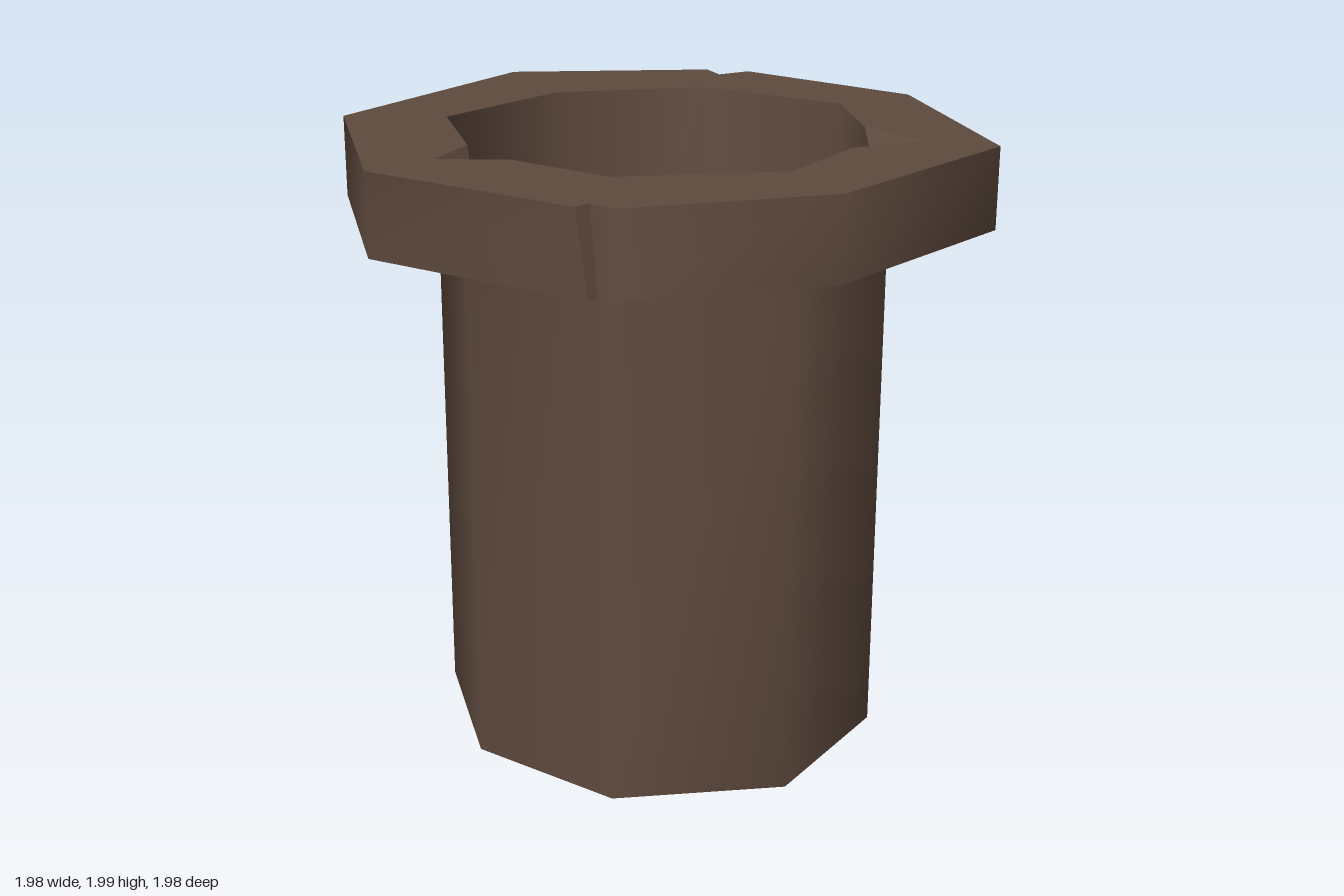
import * as THREE from 'three';
import { toCreasedNormals } from 'three/addons/utils/BufferGeometryUtils.js';

const TOP = 1.99, RIM_BASE = 1.73, FLOOR = 0.12;

// All loops are [x, z], clockwise from above.
// Rim outline, in pieces either side of its two damaged corners
const rimRight = [[0.24, -0.99], [0.93, -0.58], [0.99, 0.2]];
const rimLeft = [[-0.14, 0.99], [-0.8, 0.58], [-0.99, -0.3]];
const notchTop = [[0.67, 0.77], [0.58, 0.775], [0.58, 0.83]];
const notchBase = [[0.67, 0.78], [0.62, 0.785], [0.62, 0.82]];
const hole = [[0.18, -0.71], [0.6, -0.4], [0.71, 0.11], [0.4, 0.53],
  [-0.1, 0.62], [-0.56, 0.35], [-0.61, -0.16], [-0.33, -0.59]];
const scaled = (loop, s) => loop.map(([x, z]) => [x * s, z * s]);

// Chips: start and end on an edge, an apex in the rim top, a lowered corner
const rimChip = { a: [-0.545, -0.825], b: [-0.42, -0.905], apex: [-0.45, -0.79], low: [-0.5, -0.89], y: 1.88 };
const holeChips = {
  1: { a: [0.47, -0.495], b: [0.635, -0.24], apex: [0.72, -0.48], low: hole[1], y: 1.86 },
  4: { a: [0.04, 0.594], b: [-0.2, 0.56], apex: [-0.12, 0.75], low: hole[4], y: 1.86 },
};

const at = (loop, y) => loop.map((p) => [p[0], p[2] ?? y, p[1]]);

// Wall between two loops of equal length, facing out or in
function wall(bottom, top, inward = false) {
  const out = [];
  bottom.forEach((p, i) => {
    const j = (i + 1) % bottom.length;
    const q = bottom[j], pt = top[i], qt = top[j];
    if (inward) out.push(p, q, qt, p, qt, pt);
    else out.push(q, p, pt, q, pt, qt);
  });
  return out;
}

// Flat cap with an optional hole, facing up or down
function cap(contour, holes, y, up) {
  const v = (loop) => loop.map(([x, z]) => new THREE.Vector2(x, z));
  const pts = [contour, ...holes].flat();
  return THREE.ShapeUtils.triangulateShape(v(contour), holes.map(v)).flatMap((face) => {
    const [a, b, c] = face.map((i) => [pts[i][0], y, pts[i][1]]);
    const ny = (b[2] - a[2]) * (c[0] - a[0]) - (b[0] - a[0]) * (c[2] - a[2]);
    return (ny > 0) === up ? [a, b, c] : [a, c, b];
  });
}

// Two upward sloping faces of a chip
function chipFaces({ a, b, apex, low, y }) {
  const [A, B, P] = at([a, b, apex], TOP), L = [low[0], y, low[1]];
  return [[A, P, L], [P, B, L]].flatMap(([p, q, r]) => {
    const ny = (q[2] - p[2]) * (r[0] - p[0]) - (q[0] - p[0]) * (r[2] - p[2]);
    return ny > 0 ? [p, q, r] : [p, r, q];
  });
}

function mesh(name, triangles, material) {
  const g = new THREE.BufferGeometry();
  g.setAttribute('position', new THREE.Float32BufferAttribute(triangles.flat(), 3));
  g.computeVertexNormals();
  const m = new THREE.Mesh(toCreasedNormals(g, 1.1), material);
  m.name = name;
  return m;
}

export function createModel() {
  const group = new THREE.Group();
  group.name = 'pot';
  const brown = new THREE.MeshStandardMaterial({ color: 0x5f4a3e });
  brown.name = 'dark brown';

  // Rim sides, with the notch and the chipped corner
  const { a, b, apex, low, y } = rimChip;
  const rimEdge = (notch) => [...rimRight, ...notch, ...rimLeft, a, [...low, y], b];
  const rimFoot = [...rimRight, ...notchBase, ...rimLeft, a, low, b];
  group.add(mesh('rimSide', wall(at(rimFoot, RIM_BASE), at(rimEdge(notchTop), TOP)), brown));

  // Rim top and underside
  const topOutline = [...rimRight, ...notchTop, ...rimLeft, a, apex, b];
  const topHole = hole.flatMap((p, i) => {
    const c = holeChips[i];
    return c ? [c.a, c.apex, c.b] : [p];
  });
  const bodyLoop = scaled(hole, 1.06);
  group.add(mesh('rimTop', cap(topOutline, [topHole], TOP, true), brown));
  group.add(mesh('rimUnderside', cap(rimFoot, [bodyLoop], RIM_BASE, false), brown));
  group.add(mesh('chips', [rimChip, ...Object.values(holeChips)].flatMap(chipFaces), brown));

  // Straight outer body and its base
  group.add(mesh('body', wall(at(bodyLoop, 0), at(bodyLoop, RIM_BASE)), brown));
  group.add(mesh('base', cap(bodyLoop, [], 0, false), brown));

  // Tapered inside wall and floor
  const lip = hole.flatMap((p, i) => {
    const c = holeChips[i];
    return c ? [c.a, [...c.low, c.y], c.b] : [p];
  });
  const foot = scaled(lip, 0.865);
  group.add(mesh('innerWall', wall(at(foot, FLOOR), at(lip, TOP), true), brown));
  group.add(mesh('floor', cap(foot, [], FLOOR, true), brown));
  return group;
}
